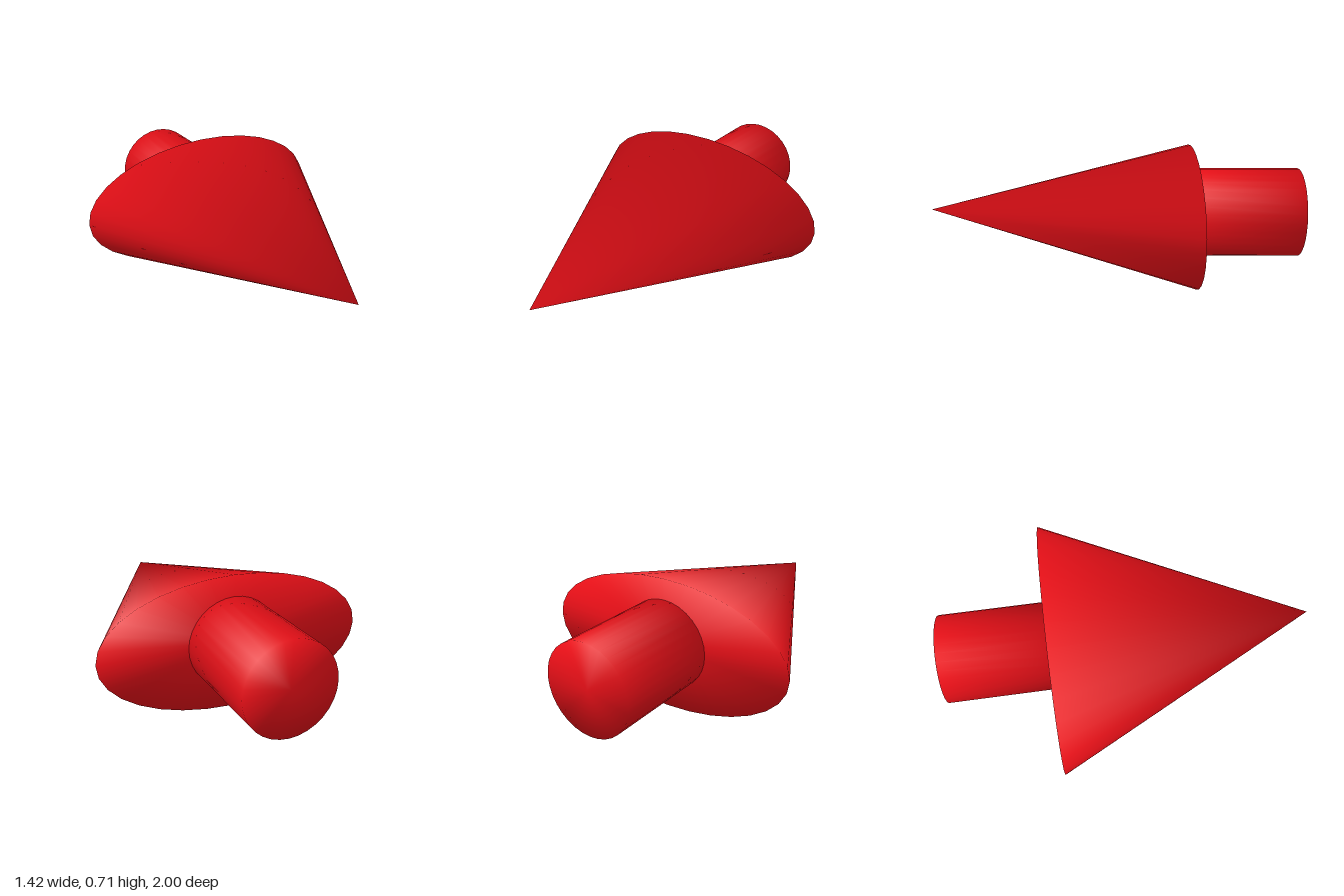
import * as THREE from 'three';
import { mergeVertices } from 'three/addons/utils/BufferGeometryUtils.js';

const SIDES = 32;

// Weld the geometry and average unit face normals, so shading runs smoothly over the rims.
function weldSmooth(source) {
  source.deleteAttribute('normal');
  source.deleteAttribute('uv');
  const geometry = mergeVertices(source, 1e-4);
  const pos = geometry.attributes.position;
  const index = geometry.index;
  const sums = Array.from({ length: pos.count }, () => new THREE.Vector3());
  const tri = new THREE.Triangle();
  const n = new THREE.Vector3();
  for (let i = 0; i < index.count; i += 3) {
    const ids = [0, 1, 2].map((k) => index.getX(i + k));
    tri.setFromAttributeAndIndices(pos, ...ids);
    tri.getNormal(n);
    ids.forEach((id) => sums[id].add(n));
  }
  const normals = sums.flatMap((v) => v.normalize().toArray());
  geometry.setAttribute('normal', new THREE.Float32BufferAttribute(normals, 3));
  return geometry;
}

export function createModel() {
  const group = new THREE.Group();
  group.name = 'arrow';
  const red = new THREE.MeshStandardMaterial({ color: 0xe50f17 });

  // Flattened cone pointing forward, tilted up very slightly
  const length = 1.418;
  const cone = new THREE.ConeGeometry(1, length, SIDES);
  cone.rotateX(Math.PI / 2);
  cone.scale(0.71, 0.356, 1);
  cone.translate(0, 0, length / 2);
  cone.rotateX(-0.014);
  cone.translate(0, 0.357, -0.418);
  const head = new THREE.Mesh(weldSmooth(cone), red);
  head.name = 'arrowHead';
  group.add(head);

  // Round shaft behind the head, its front end just inside the base
  const front = -0.41;
  const back = -1;
  const rod = new THREE.CylinderGeometry(0.24, 0.24, front - back, SIDES);
  rod.rotateX(Math.PI / 2);
  rod.translate(0, 0.36, (front + back) / 2);
  const shaft = new THREE.Mesh(weldSmooth(rod), red);
  shaft.name = 'shaft';
  group.add(shaft);

  return group;
}
